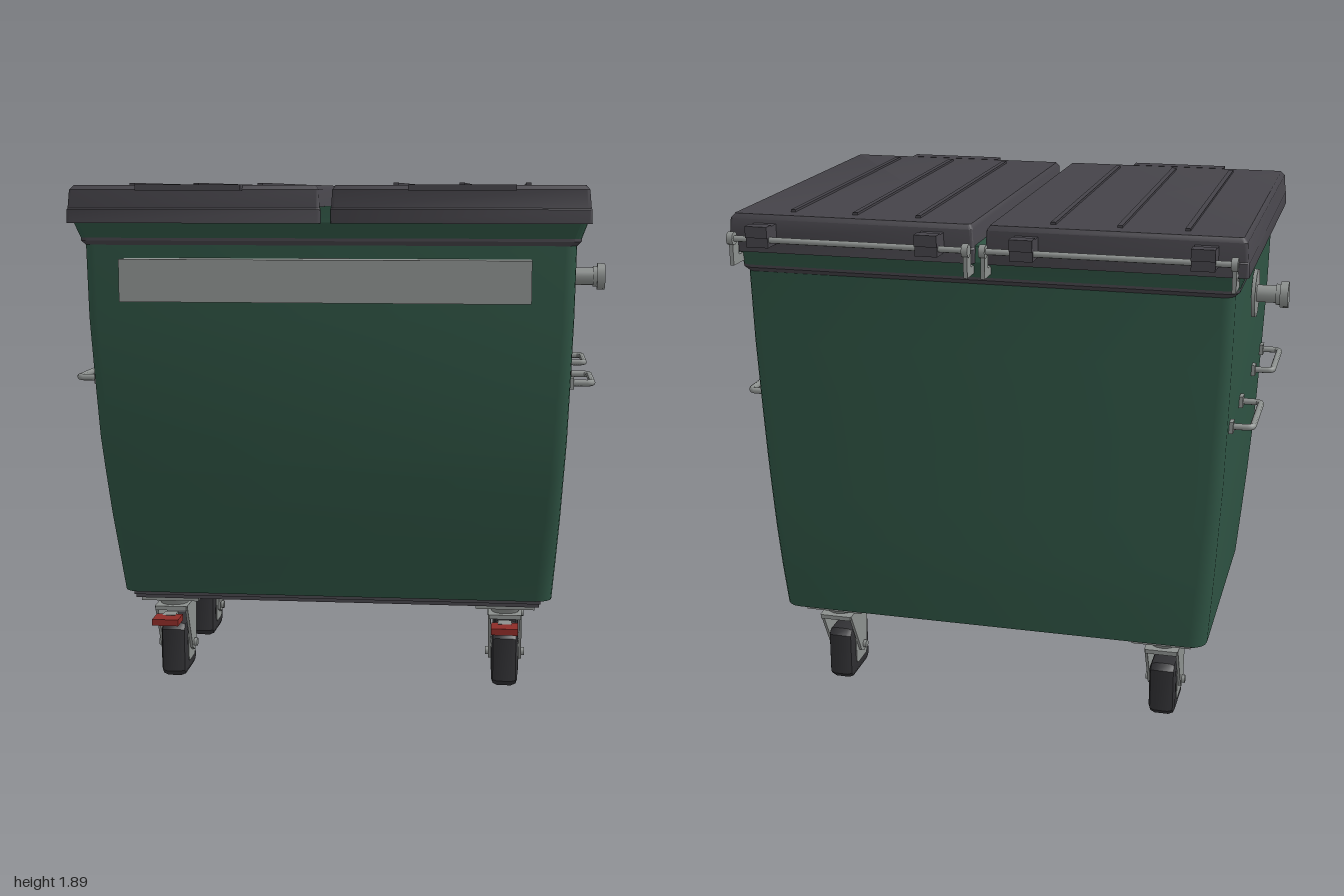
import * as THREE from 'three';
import { toCreasedNormals } from 'three/addons/utils/BufferGeometryUtils.js';

const mat = (name, color) => Object.assign(new THREE.MeshStandardMaterial({ color }), { name });

// Closed loft through rounded rectangles, each level [y, x0, x1, z0, z1, cornerRadius]
function loft(levels, crease = 0.6, steps = 4) {
  const pos = [], idx = [], n = 4 * (steps + 1);
  for (const [y, x0, x1, z0, z1, r] of levels) {
    for (let q = 0; q < 4; q++) {
      const cx = q === 0 || q === 3 ? x1 - r : x0 + r;
      const cz = q < 2 ? z1 - r : z0 + r;
      for (let k = 0; k <= steps; k++) {
        const a = (q + k / steps) * Math.PI / 2;
        pos.push(cx + r * Math.cos(a), y, cz + r * Math.sin(a));
      }
    }
  }
  for (let l = 0; l < levels.length - 1; l++) {
    for (let i = 0; i < n; i++) {
      const a = l * n + i, b = l * n + (i + 1) % n;
      idx.push(a, a + n, b, b, a + n, b + n);
    }
  }
  const top = (levels.length - 1) * n;
  for (const [base, up] of [[0, false], [top, true]]) {
    const [y, x0, x1, z0, z1] = levels[up ? levels.length - 1 : 0];
    const c = pos.length / 3;
    pos.push((x0 + x1) / 2, y, (z0 + z1) / 2);
    for (let i = 0; i < n; i++) {
      const a = base + i, b = base + (i + 1) % n;
      if (up) idx.push(c, b, a); else idx.push(c, a, b);
    }
  }
  const g = new THREE.BufferGeometry();
  g.setAttribute('position', new THREE.Float32BufferAttribute(pos, 3));
  g.setIndex(idx);
  return toCreasedNormals(g, crease);
}

// Side-profile plate: points are [z, y], centred on x = 0
function plate(points, thickness, bevel = 0) {
  const g = new THREE.ExtrudeGeometry(new THREE.Shape(points.map(p => new THREE.Vector2(...p))), {
    depth: thickness - 2 * bevel, bevelEnabled: bevel > 0, bevelSize: bevel,
    bevelThickness: bevel, bevelOffset: -bevel, bevelSegments: 2,
  });
  return g.rotateY(-Math.PI / 2).translate(thickness / 2 - bevel, 0, 0);
}

// Square with cut corners
const cutSquare = (h, c) => [[-h + c, -h], [h - c, -h], [h, -h + c], [h, h - c],
  [h - c, h], [-h + c, h], [-h, h - c], [-h, -h + c]];

export function createModel() {
  const green = mat('bodyGreen', 0x2f5444);
  const dark = mat('lidCharcoal', 0x454349);
  const black = mat('rubberBlack', 0x303033);
  const grey = mat('galvanisedGrey', 0x8c908e);
  const red = mat('brakeRed', 0x8c2c28);
  const root = new THREE.Group();
  root.name = 'wheeledContainer';

  const add = (parent, name, geo, m, x = 0, y = 0, z = 0) => {
    const mesh = new THREE.Mesh(geo, m);
    mesh.name = name;
    mesh.position.set(x, y, z);
    parent.add(mesh);
    return mesh;
  };
  const box = (parent, name, m, x, y, z, w, h, d) =>
    add(parent, name, new THREE.BoxGeometry(w, h, d), m, x, y, z);
  const rod = (parent, name, m, x, y, z, r, len, sides = 12) =>
    add(parent, name, new THREE.CylinderGeometry(r, r, len, sides).rotateZ(Math.PI / 2), m, x, y, z);

  // Tub with a curved, sloping front
  const section = (y, x, z0, z1, r) => [y, -x, x, z0, z1, r];
  add(root, 'tub', loft([
    section(0.36, 0.81, -0.60, 0.405, 0.06), section(0.52, 0.822, -0.617, 0.455, 0.06),
    section(0.68, 0.833, -0.624, 0.505, 0.055), section(0.84, 0.842, -0.628, 0.547, 0.05),
    section(0.98, 0.85, -0.632, 0.582, 0.05), section(1.2, 0.858, -0.638, 0.61, 0.045),
    section(1.42, 0.865, -0.644, 0.637, 0.04), section(1.7, 0.87, -0.65, 0.645, 0.04),
  ]), green);

  // Rim: dark sealing band, then a flared green collar
  add(root, 'rimBand', loft([
    section(1.68, 0.87, -0.65, 0.648, 0.04), section(1.695, 0.885, -0.66, 0.655, 0.04),
    section(1.71, 0.885, -0.66, 0.655, 0.04),
  ], 0.3), dark);
  add(root, 'rimCollar', loft([
    section(1.705, 0.885, -0.66, 0.655, 0.04), section(1.76, 0.905, -0.67, 0.675, 0.04),
    section(1.815, 0.9, -0.66, 0.675, 0.04),
  ], 0.3), green);

  // Front bar with recessed ends
  box(root, 'frontBar', grey, 0, 1.56, 0.702, 1.41, 0.148, 0.124);
  for (const s of [-1, 1]) {
    for (const e of [-1, 1]) {
      box(root, 'barEndEdge', grey, s * 0.708, 1.56 + e * 0.067, 0.702, 0.014, 0.014, 0.124);
      box(root, 'barEndEdge', grey, s * 0.708, 1.56, 0.702 + e * 0.055, 0.014, 0.148, 0.014);
    }
  }

  for (const s of [-1, 1]) {
    const side = new THREE.Group();
    side.name = s > 0 ? 'leftFittings' : 'rightFittings';
    root.add(side);

    // Lid half with ribs and a front grip
    const xs = [[0.018, 0.918], [0.018, 0.916], [0.02, 0.914], [0.024, 0.908], [0.034, 0.895]];
    const rows = [[1.757, -0.685, 0.695], [1.805, -0.685, 0.695], [1.81, -0.68, 0.69],
      [1.873, -0.678, 0.688], [1.889, -0.665, 0.672]];
    add(side, 'lid', loft(rows.map(([y, z0, z1], i) => {
      const [a, b] = xs[i];
      return [y, s > 0 ? a : -b, s > 0 ? b : -a, z0, z1, 0.012];
    }), 0.7), dark);
    for (const x of [0.24, 0.47, 0.70]) {
      box(side, 'lidRib', dark, s * x, 1.891, 0, 0.018, 0.012, 1.2);
    }
    box(side, 'lidGrip', dark, s * 0.475, 1.88, 0.70, 0.37, 0.02, 0.06);

    // Hinge rod, clips and brackets along the back
    rod(side, 'hingeRod', grey, s * 0.455, 1.815, -0.742, 0.011, 0.87, 8);
    for (const x of [0.165, 0.775]) {
      box(side, 'hingeClip', dark, s * x, 1.825, -0.715, 0.08, 0.07, 0.09);
      box(side, 'hingeKnuckle', dark, s * x, 1.845, -0.745, 0.08, 0.04, 0.045);
    }
    for (const x of [0.03, 0.877]) {
      box(side, 'hingeBracket', grey, s * x, 1.765, -0.725, 0.014, 0.09, 0.05);
      box(side, 'bracketFoot', grey, s * x, 1.735, -0.68, 0.014, 0.03, 0.06);
      rod(side, 'hingeNut', grey, s * x, 1.815, -0.742, 0.024, 0.022, 8);
    }

    // Lifting trunnion
    rod(side, 'trunnionPlate', grey, s * 0.877, 1.545, -0.005, 0.092, 0.014, 12);
    rod(side, 'trunnionShaft', grey, s * 0.92, 1.545, -0.005, 0.033, 0.1);
    rod(side, 'trunnionCollar', grey, s * 0.962, 1.545, -0.005, 0.04, 0.016, 8);
    rod(side, 'trunnionCap', grey, s * 0.985, 1.545, -0.005, 0.05, 0.03, 8);

    // Side handles
    for (const z of [0.35, -0.37]) {
      const path = new THREE.CurvePath();
      const p = [[0.855, -0.15], [0.925, -0.15], [0.937, -0.135], [0.937, 0.135], [0.925, 0.15], [0.855, 0.15]]
        .map(([x, dz]) => new THREE.Vector3(s * x, 1.19, z + dz));
      for (let i = 0; i < p.length - 1; i++) path.add(new THREE.LineCurve3(p[i], p[i + 1]));
      add(side, 'sideHandle', new THREE.TubeGeometry(path, 48, 0.012, 8), grey);
      for (const e of [-1, 1]) {
        box(side, 'handleFoot', grey, s * 0.862, 1.19, z + e * 0.152, 0.02, 0.042, 0.042);
      }
    }

    // Casters: swivel head, fork, wheel
    for (const front of [true, false]) {
      const caster = new THREE.Group();
      caster.name = front ? 'frontCaster' : 'rearCaster';
      caster.position.set(s * 0.638, 0, front ? 0.28 : -0.44);
      side.add(caster);
      const wz = front ? -0.065 : 0.067;
      const d = Math.sign(wz);
      box(caster, 'topPlate', grey, 0, 0.325, 0, 0.22, 0.016, 0.17);
      add(caster, 'swivel', new THREE.CylinderGeometry(0.065, 0.05, 0.03, 16), grey, 0, 0.303, 0);
      box(caster, 'forkCrown', grey, 0, 0.284, d * 0.01, 0.12, 0.016, 0.17);
      const cheek = [[-d * 0.07, 0.292], [d * 0.115, 0.292], [d * 0.112, 0.23],
        [wz + d * 0.03, 0.1], [wz, 0.085], [wz - d * 0.03, 0.1]];
      for (const e of [-1, 1]) add(caster, 'forkCheek', plate(cheek, 0.01), grey, e * 0.058);
      add(caster, 'tyre', toCreasedNormals(plate(cutSquare(0.105, 0.022), 0.1, 0.024), 0.5), black, 0, 0.108, wz);
      add(caster, 'hub', plate(cutSquare(0.062, 0.015), 0.106), grey, 0, 0.115, wz);
      rod(caster, 'axle', grey, 0, 0.115, wz, 0.016, 0.15, 8);
      if (front) {
        box(caster, 'brakeArm', grey, 0, 0.26, 0.085, 0.05, 0.016, 0.06);
        box(caster, 'brakePedal', red, 0, 0.255, 0.135, 0.1, 0.024, 0.09);
      }
    }
  }

  // Undercarriage rails
  for (const z of [0.283, -0.445]) {
    box(root, 'rail', dark, 0, 0.353, z, 1.54, 0.014, 0.215);
    box(root, 'railLower', dark, 0, 0.34, z, 1.53, 0.018, 0.19);
  }
  return root;
}
